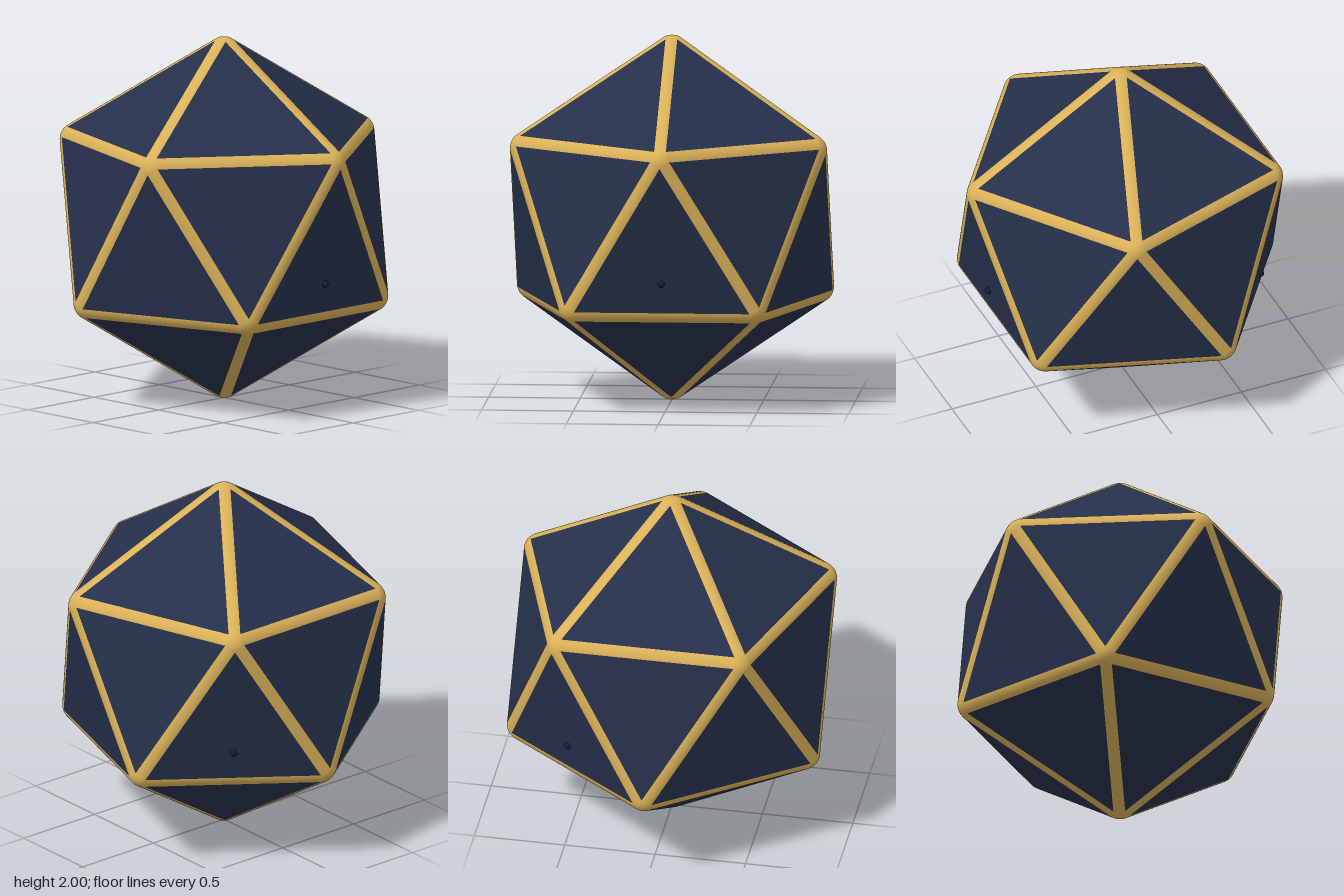
import * as THREE from 'three';

const ROUND = 0.09;            // radius of the rounded edges and corners
const CORE = 1 - ROUND;        // radius of the inner icosahedron carrying them

export function createModel() {
  const navy = new THREE.MeshStandardMaterial({ color: 0x25304a });
  navy.name = 'navy panel';
  const gold = new THREE.MeshStandardMaterial({ color: 0xdab158 });
  gold.name = 'gold trim';
  const dark = new THREE.MeshStandardMaterial({ color: 0x181e2c });
  dark.name = 'dark stud';

  const model = new THREE.Group();
  model.name = 'icosahedron';
  const body = new THREE.Group();
  body.name = 'body';
  body.position.y = 1;
  model.add(body);

  const add = (name, geometry, material, position) => {
    const mesh = new THREE.Mesh(geometry, material);
    mesh.name = name;
    if (position) mesh.position.copy(position);
    body.add(mesh);
    return mesh;
  };

  // Corner points: two poles and two staggered rings of five
  const corners = [new THREE.Vector3(0, CORE, 0), new THREE.Vector3(0, -CORE, 0)];
  const h = CORE / Math.sqrt(5);
  for (let i = 0; i < 10; i++) {
    const a = (i * Math.PI) / 5;
    corners.push(new THREE.Vector3(2 * h * Math.cos(a), i % 2 ? -h : h, 2 * h * Math.sin(a)));
  }
  const joined = (a, b) => a.distanceTo(b) < CORE * 1.1;

  // Rounded gold corners
  const ball = new THREE.SphereGeometry(ROUND, 48, 32);
  for (const c of corners) add('corner', ball, gold, c);

  // Rounded gold edges
  const rod = new THREE.CylinderGeometry(ROUND, ROUND, CORE * 1.05146, 64, 1, true);
  const up = new THREE.Vector3(0, 1, 0);
  // Flat navy panels, lifted to lie tangent to the edges
  const panel = (a, b, c) => {
    const normal = b.clone().sub(a).cross(c.clone().sub(a)).normalize();
    const points = [a, b, c];
    if (normal.dot(a) < 0) {
      normal.negate();
      points.reverse();
    }
    const lifted = points.map((p) => p.clone().addScaledVector(normal, ROUND));
    const geometry = new THREE.BufferGeometry().setFromPoints(lifted);
    geometry.computeVertexNormals();
    add('panel', geometry, navy);
  };

  for (let i = 0; i < 12; i++) {
    for (let j = i + 1; j < 12; j++) {
      const a = corners[i], b = corners[j];
      if (!joined(a, b)) continue;
      const edge = add('edge', rod, gold, a.clone().add(b).multiplyScalar(0.5));
      edge.quaternion.setFromUnitVectors(up, b.clone().sub(a).normalize());
      for (let k = j + 1; k < 12; k++) {
        if (joined(a, corners[k]) && joined(b, corners[k])) panel(a, b, corners[k]);
      }
    }
  }

  // Two small studs on the side panels
  const stud = new THREE.SphereGeometry(0.019, 24, 16);
  for (const turn of [0, 3]) {
    const a = (turn * 2 * Math.PI) / 5;
    add('stud', stud, dark, new THREE.Vector3(0.782 * Math.cos(a), -0.26, 0.782 * Math.sin(a)));
  }
  return model;
}
